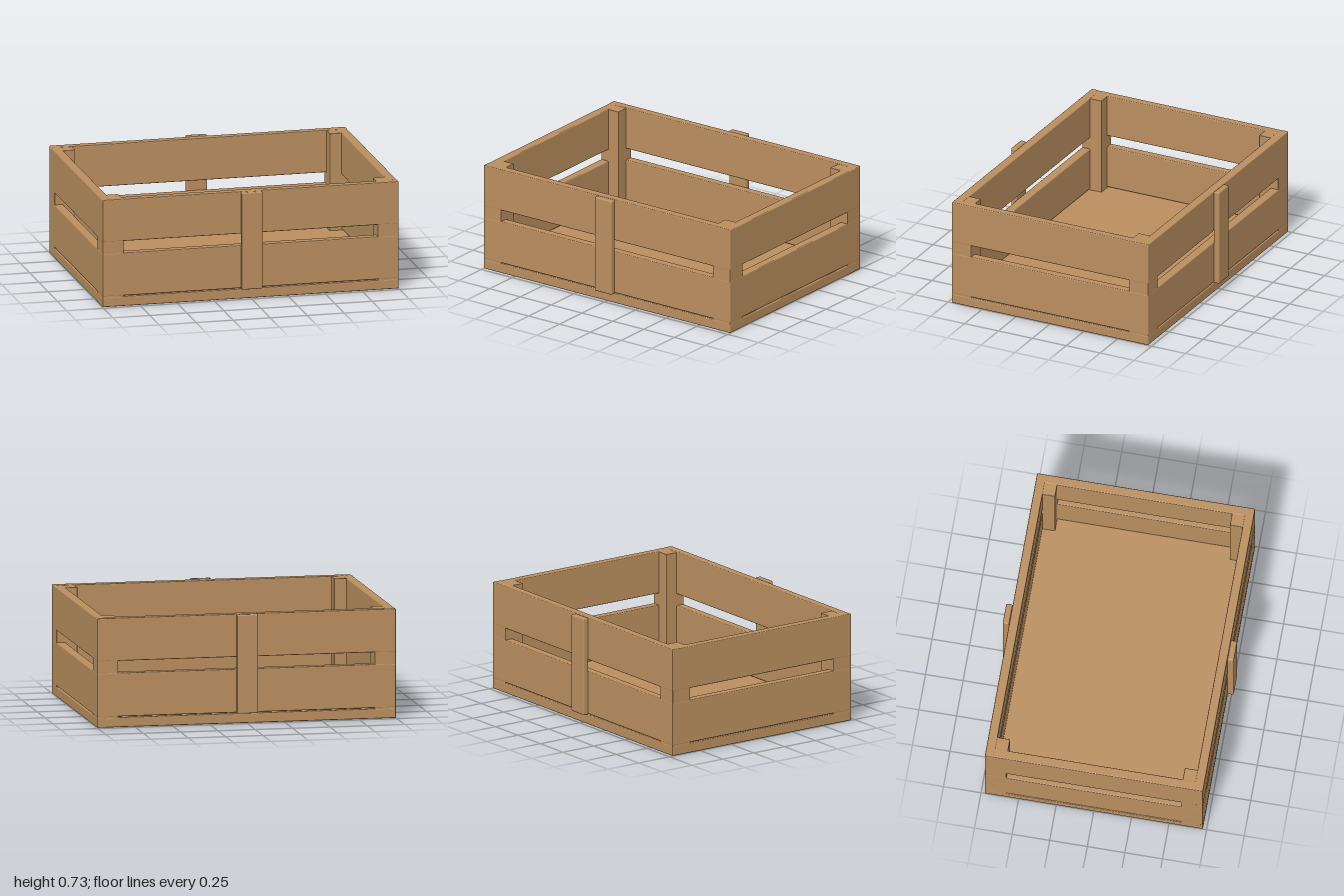
import * as THREE from 'three';
import { RoundedBoxGeometry } from 'three/addons/geometries/RoundedBoxGeometry.js';

export function createModel() {
  const crate = new THREE.Group();
  crate.name = 'crate';
  const wood = new THREE.MeshStandardMaterial({ color: 0xb98e5f });
  wood.name = 'wood';

  const X = 1, Z = 0.725, H = 0.725; // half width, half depth, height
  const T = 0.06;                    // board thickness

  // Softly rounded board given by its size and the y of its underside
  function board(name, w, h, d, x, y, z, radius = 0.006) {
    const mesh = new THREE.Mesh(new RoundedBoxGeometry(w, h, d, 2, radius), wood);
    mesh.name = name;
    mesh.position.set(x, y + h / 2, z);
    crate.add(mesh);
  }

  // Floor panel
  board('floor', 2 * X, 0.065, 2 * Z, 0, 0, 0);

  // Two rows of wall slats, with a gap between them and a thin slit above the floor
  const rows = [['lower', 0.071, 0.36], ['upper', 0.44, H]];
  for (const [row, y0, y1] of rows) {
    for (const s of [1, -1]) {
      board(`${row}${s > 0 ? 'Front' : 'Back'}Slat`, 2 * X, y1 - y0, T, 0, y0, s * (Z - T / 2));
      board(`${row}${s > 0 ? 'Left' : 'Right'}Slat`, T, y1 - y0 - 0.001, 2 * Z - 0.002, s * (X - T / 2), y0, 0);
    }
  }

  // Corner posts
  const pw = 0.14, pd = 0.143, inset = 0.001;
  for (const sx of [1, -1]) {
    for (const sz of [1, -1]) {
      board('cornerPost', pw, H - 0.004, pd,
        sx * (X - inset - pw / 2), 0.002, sz * (Z - inset - pd / 2), 0.004);
    }
  }

  // Upright cleats outside the front and back walls
  for (const s of [1, -1]) {
    board(s > 0 ? 'frontCleat' : 'backCleat', 0.14, 0.658, 0.042, 0, 0.069, s * 0.747, 0.009);
  }

  return crate;
}
